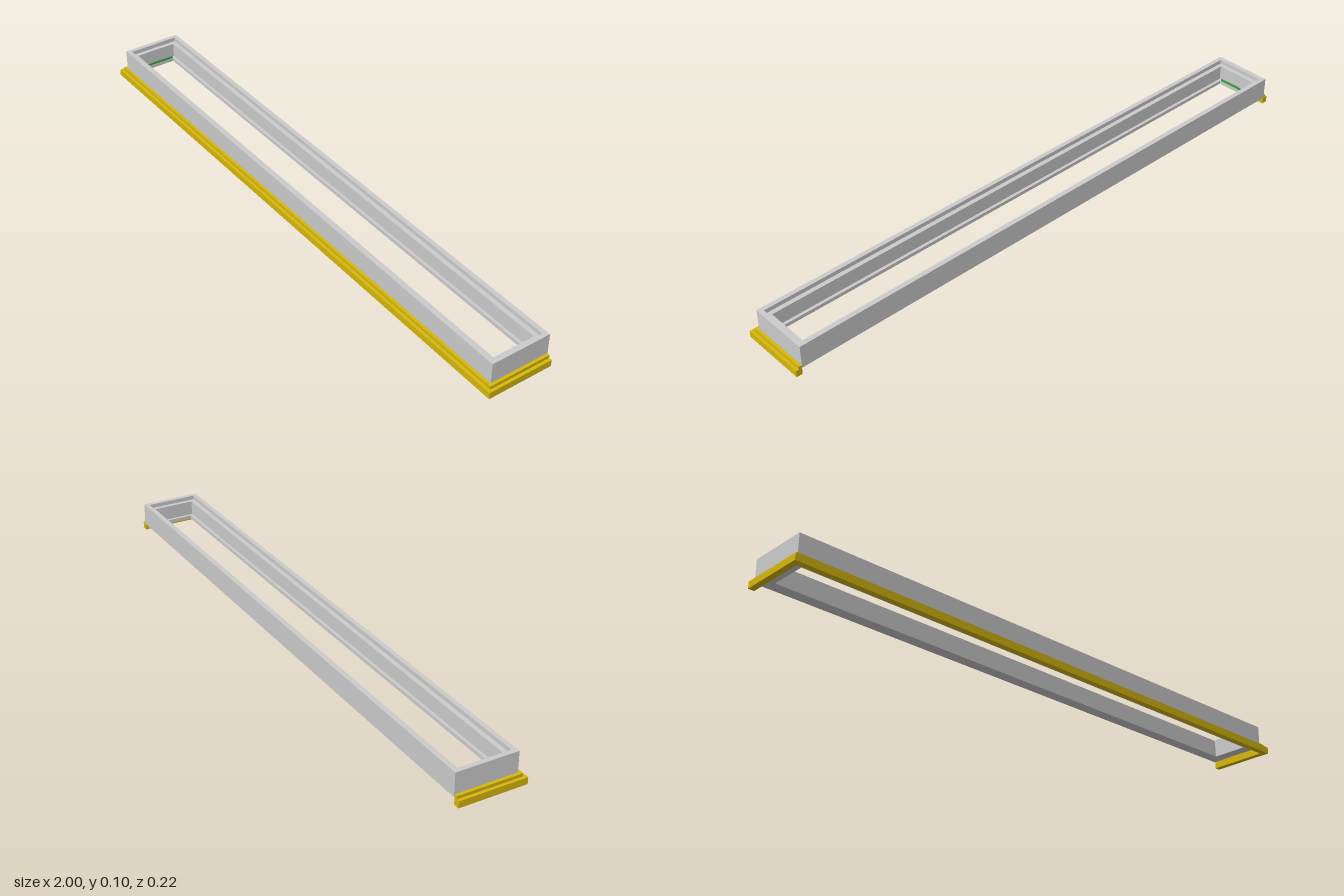
import * as THREE from 'three';

const grey = new THREE.MeshStandardMaterial({ color: 0xcccccc });
const yellow = new THREE.MeshStandardMaterial({ color: 0xd6b70c });
const green = new THREE.MeshStandardMaterial({ color: 0x2f9e3a });

// Outer footprint of the grey frame
const HALF_X = 0.98, BACK = -0.112, FRONT = 0.092;

// Extrude a plan shape (drawn as x, -z) upward from y0 to y1
function slab(name, shape, y0, y1, material) {
  const geo = new THREE.ExtrudeGeometry(shape, { depth: y1 - y0, bevelEnabled: false });
  geo.rotateX(-Math.PI / 2).translate(0, y0, 0);
  const mesh = new THREE.Mesh(geo, material);
  mesh.name = name;
  return mesh;
}

function polygon(points) {
  return points.map(([x, z]) => new THREE.Vector2(x, -z));
}

// Footprint corners moved inward by d
function rectangle(d) {
  const x = HALF_X - d, b = BACK + d, f = FRONT - d;
  return polygon([[-x, f], [x, f], [x, b], [-x, b]]);
}

function ring(outer, inner) {
  const shape = new THREE.Shape(rectangle(outer));
  shape.holes.push(new THREE.Path(rectangle(inner)));
  return shape;
}

// U-shaped strip round the front and both ends, open at the back
function trim(out) {
  const x = HALF_X + out, f = FRONT + out, b = BACK + 0.002;
  return new THREE.Shape(polygon([
    [-x, b], [-x, f], [x, f], [x, b],
    [HALF_X, b], [HALF_X, FRONT], [-HALF_X, FRONT], [-HALF_X, b],
  ]));
}

export function createModel() {
  const model = new THREE.Group();
  model.name = 'rectangularFrame';

  // Hollow frame, stepping down towards the opening
  const frame = new THREE.Group();
  frame.name = 'frame';
  frame.add(
    slab('outerWall', ring(0, 0.015), 0.024, 0.1, grey),
    slab('innerStep', ring(0.015, 0.03), 0.024, 0.086, grey),
    slab('bottomLip', ring(0.03, 0.04), 0.024, 0.036, grey),
  );
  model.add(frame);

  // Stepped moulding
  const moulding = new THREE.Group();
  moulding.name = 'moulding';
  moulding.add(
    slab('lowerMoulding', trim(0.02), 0, 0.022, yellow),
    slab('upperMoulding', trim(0.01), 0.022, 0.032, yellow),
  );
  model.add(moulding);

  // Narrow strip on the lip at the right-hand end
  const strip = new THREE.Mesh(new THREE.BoxGeometry(0.005, 0.006, 0.12), green);
  strip.name = 'endStrip';
  strip.position.set(-0.9435, 0.039, (FRONT + BACK) / 2);
  model.add(strip);

  return model;
}
